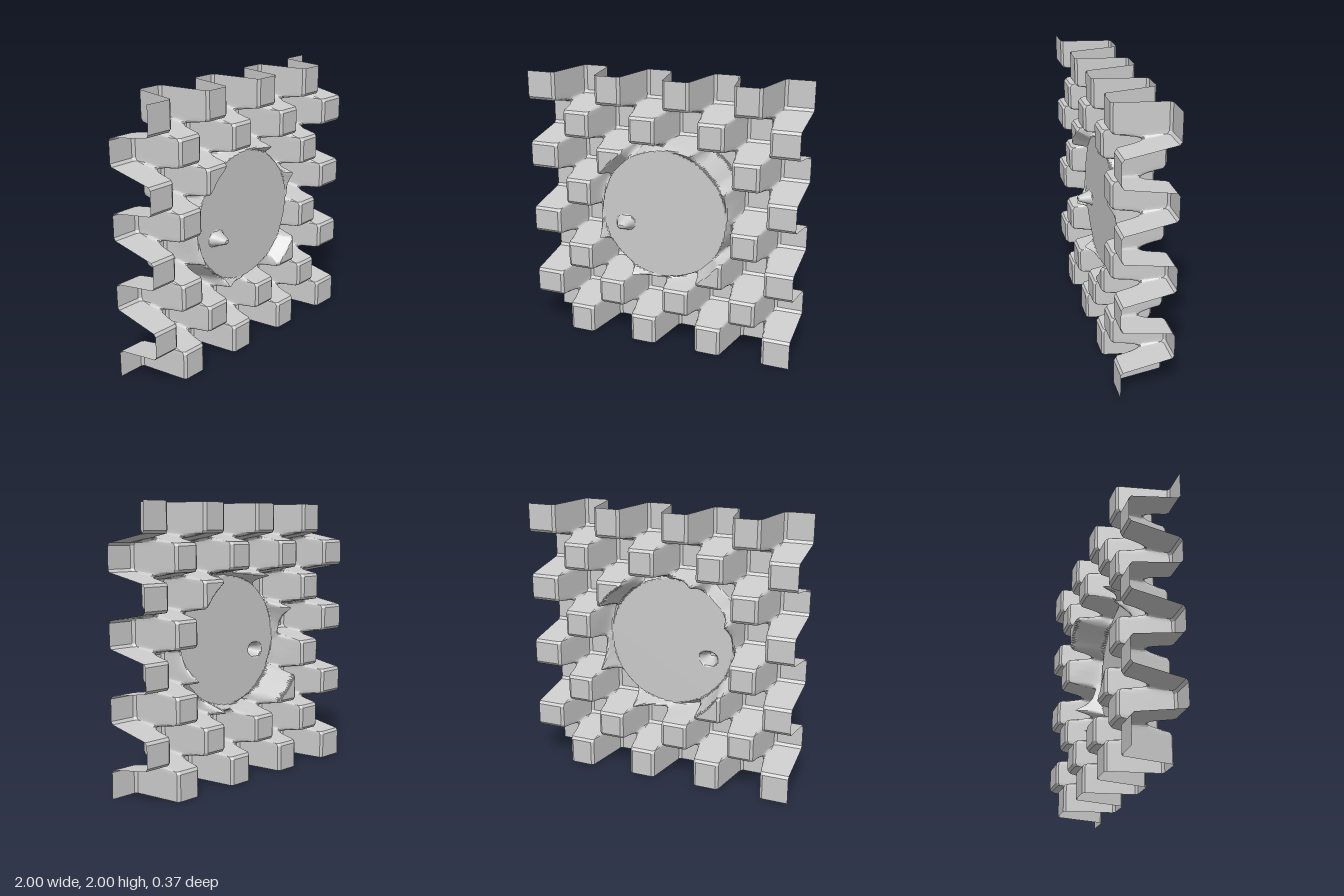
import * as THREE from 'three';
import { toCreasedNormals } from 'three/addons/utils/BufferGeometryUtils.js';

const PITCH = 0.254;   // spacing of the folds
const DEPTH = 0.185;   // half depth of the panel
const DISC_Z = 0.08;   // level of the round flat area

// Height across one fold: steep wall, narrow chamfer, flat top
function cellWave(x) {
  const k = THREE.MathUtils.clamp(Math.round(x / PITCH), -3, 3);
  const d = x - k * PITCH;
  const a = Math.abs(d);
  const h = a < 0.03 ? (a / 0.03) * 0.92 : Math.min(1, 0.92 + (a - 0.03) * 4);
  return h * Math.sign(d) * (k % 2 ? -1 : 1);
}

// Checkerboard of blocks pushed forward and backward
const blocks = (x, y) => -DEPTH * cellWave(x) * cellWave(y);

// Flat disc with one small rounded knob
function disc(x, y) {
  const r = Math.hypot((x + 0.295) / 0.08, (y + 0.095) / 0.062);
  return DISC_Z + (DEPTH - DISC_Z) * (1 - THREE.MathUtils.smoothstep(r, 0.2, 1));
}

function height(x, y) {
  const t = THREE.MathUtils.clamp((Math.hypot(x, y) - 0.48) / 0.055, 0, 1);
  return THREE.MathUtils.lerp(disc(x, y), blocks(x, y), t);
}

// Grid lines that fall exactly on the creases of every cell
function gridLines() {
  const half = [0, 0.01, 0.02, 0.03, 0.04, 0.05, 0.061, 0.072, 0.083, 0.094, 0.105, 0.116];
  const cell = [...half, PITCH / 2, ...half.slice(1).reverse().map((o) => PITCH - o)];
  const lines = [-1];
  for (let k = -4; k < 4; k++) {
    for (const o of cell) {
      const c = k * PITCH + o;
      if (Math.abs(c) < 0.997) lines.push(c);
    }
  }
  lines.push(1);
  return lines;
}

export function createModel() {
  const group = new THREE.Group();
  group.name = 'foldedPanel';

  // Thin sheet displaced by the height rule
  const lines = gridLines();
  const n = lines.length - 1;
  const sheet = new THREE.PlaneGeometry(2, 2, n, n);
  const pos = sheet.attributes.position;
  for (let i = 0; i < pos.count; i++) {
    const x = lines[i % (n + 1)];
    const y = lines[n - Math.floor(i / (n + 1))];
    pos.setXYZ(i, x, y + 1, height(x, y));
  }

  const material = new THREE.MeshStandardMaterial({ color: 0xcccccc, side: THREE.DoubleSide });
  const panel = new THREE.Mesh(toCreasedNormals(sheet, 0.4), material);
  panel.name = 'checkeredSheetWithDisc';
  group.add(panel);
  return group;
}
